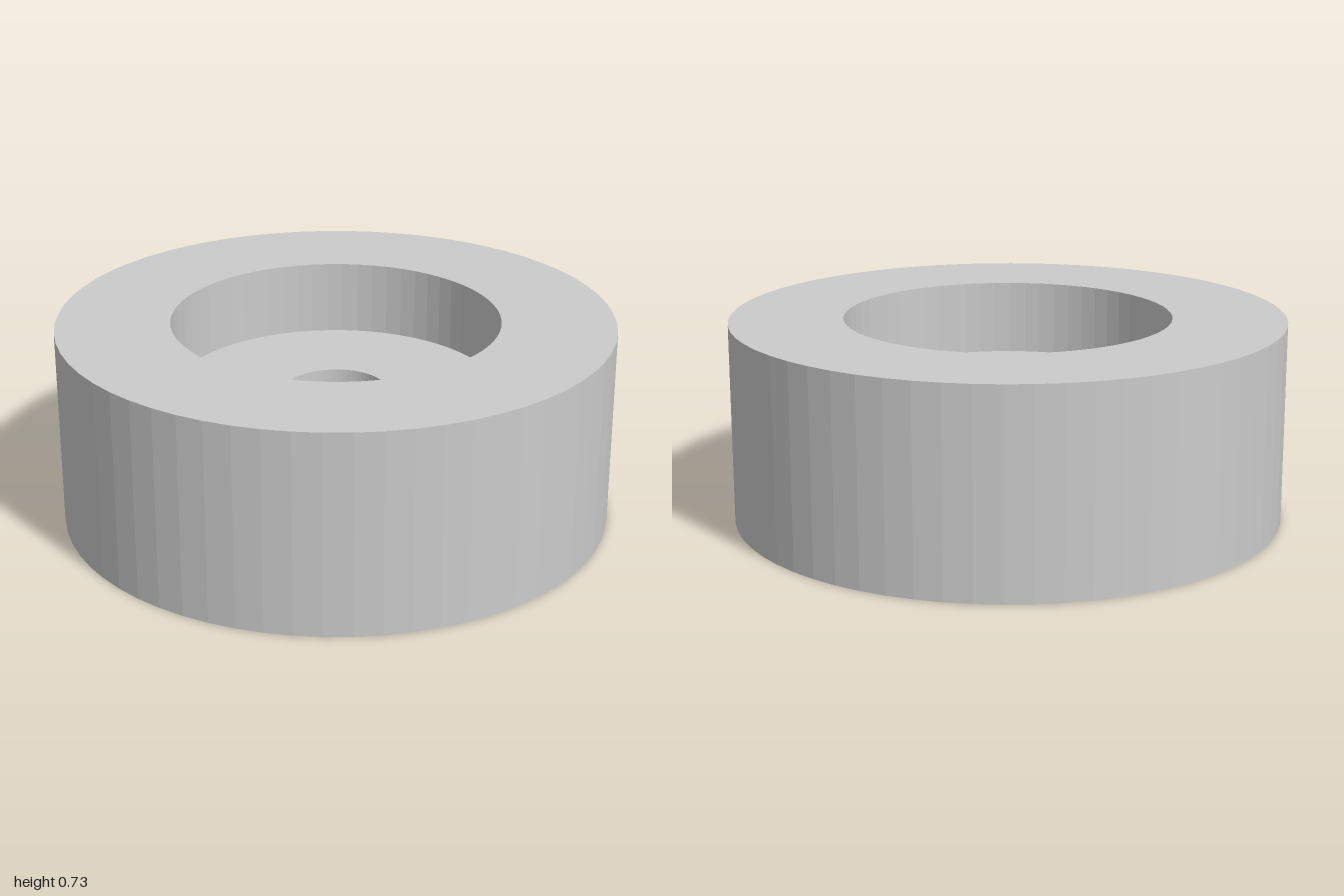
import * as THREE from 'three';

const SEGMENTS = 64;
const HEIGHT = 0.727;
const FLOOR = 0.454; // height of the recess floor
const OUTER = 1;
const RECESS = 0.591;
const BORE = 0.184;

export function createModel() {
  const group = new THREE.Group();
  group.name = 'counterboredBushing';

  // Closed cross-section: underside, outer wall, rim, recess wall, recess floor, bore
  const profile = [
    [BORE, 0],
    [OUTER, 0],
    [OUTER, HEIGHT],
    [RECESS, HEIGHT],
    [RECESS, FLOOR],
    [BORE, FLOOR],
    [BORE, 0],
  ].map(([r, y]) => new THREE.Vector2(r, y));

  const material = new THREE.MeshStandardMaterial({ color: 0xcccccc, flatShading: true });
  const body = new THREE.Mesh(new THREE.LatheGeometry(profile, SEGMENTS), material);
  body.name = 'bushingBody';
  group.add(body);

  return group;
}
